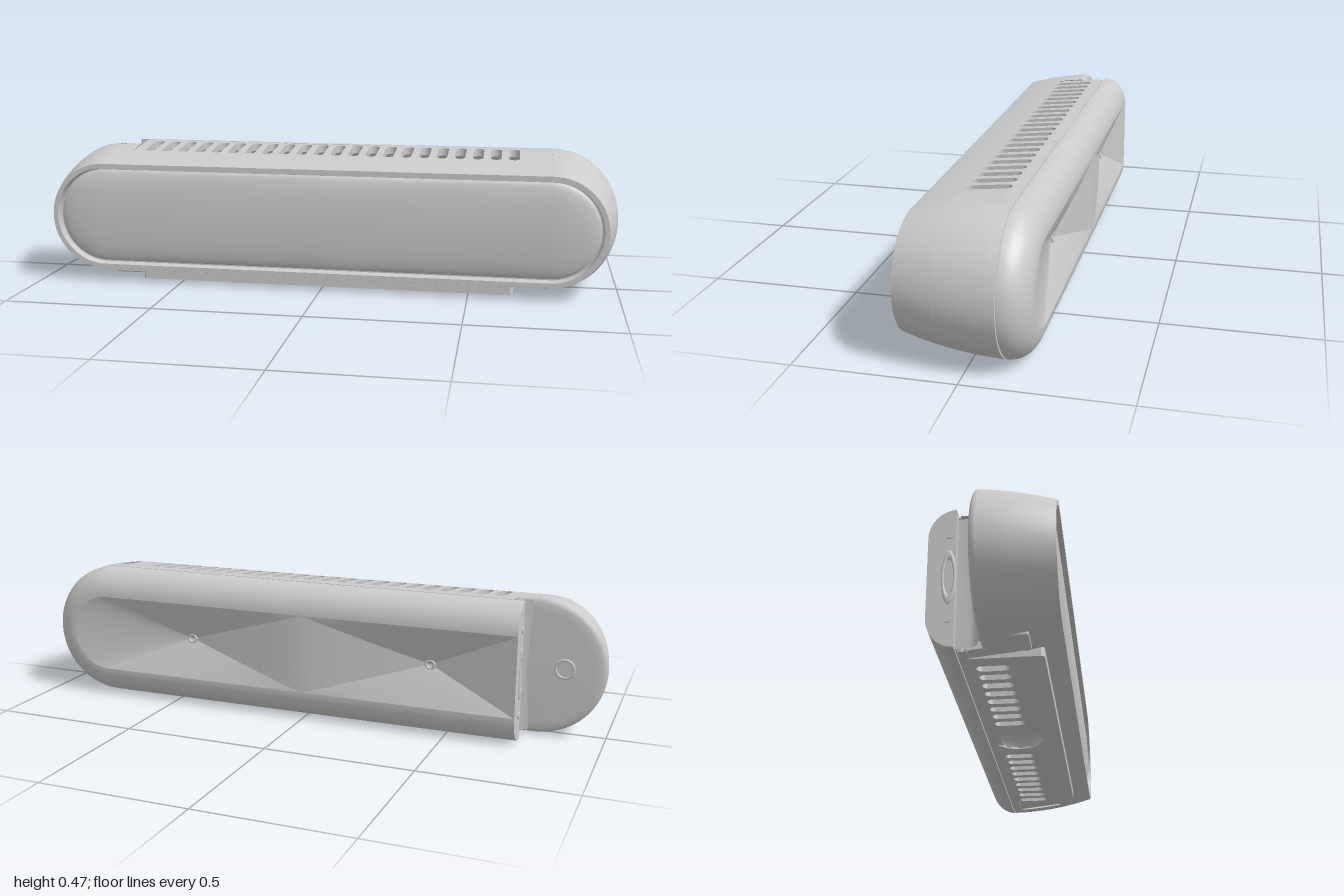
import * as THREE from 'three';
import { RoundedBoxGeometry } from 'three/addons/geometries/RoundedBoxGeometry.js';

const C = 0.2325;    // centre height, also the largest end radius
const XC = 0.7675;   // centre of the round ends
const CUT = -0.70;   // where the rear of the body stops
const LIP = -0.735;  // where the rear cover stops
const REAR = -0.2;
const radiusAt = z => C - 0.0465 * ((z + 0.115) / 0.315) ** 2;

// Half outline: straight top, round end, straight bottom
function endRing(side, r, z, cut) {
  const pts = [[cut, C + r, z]];
  for (let i = 0; i <= 32; i++) {
    const a = Math.PI / 2 - Math.PI * i / 32;
    pts.push([side * (XC + r * Math.cos(a)), C + r * Math.sin(a), z]);
  }
  pts.push([cut, C - r, z]);
  return pts;
}
const fullRing = (r, z) => [...endRing(1, r, z, 0), ...endRing(-1, r, z, 0).reverse()];

// Surface through rows of points of equal length
function loft(rows, flat = false) {
  const n = rows[0].length, idx = [];
  for (let i = 0; i < rows.length - 1; i++) {
    for (let j = 0; j < n - 1; j++) {
      const a = i * n + j, b = a + n;
      idx.push(a, b, a + 1, a + 1, b, b + 1);
    }
  }
  let g = new THREE.BufferGeometry();
  g.setAttribute('position', new THREE.Float32BufferAttribute(rows.flat(2), 3));
  g.setIndex(idx);
  if (flat) g = g.toNonIndexed();
  g.computeVertexNormals();
  return g;
}

// Rounded slot or rectangle outline in x and z
function rounded(Type, x0, x1, z0, z1, r) {
  const p = new Type();
  p.absarc(x1 - r, z1 - r, r, 0, Math.PI / 2);
  p.absarc(x0 + r, z1 - r, r, Math.PI / 2, Math.PI);
  p.absarc(x0 + r, z0 + r, r, Math.PI, Math.PI * 1.5);
  p.absarc(x1 - r, z0 + r, r, Math.PI * 1.5, Math.PI * 2);
  p.closePath();
  return p;
}

// Plate with holes, laid level with its top following a rule of z
function plate(shape, holes, thickness, topAt) {
  shape.holes.push(...holes);
  const g = new THREE.ExtrudeGeometry(shape, { depth: thickness, bevelEnabled: false, curveSegments: 6 });
  const p = g.attributes.position;
  for (let i = 0; i < p.count; i++) {
    const z = p.getY(i);
    p.setXYZ(i, p.getX(i), topAt(z) - p.getZ(i), z);
  }
  g.computeVertexNormals();
  return g;
}

export function createModel() {
  const group = new THREE.Group();
  const mat = new THREE.MeshStandardMaterial({ color: 0xcccccc, side: THREE.DoubleSide });
  const add = (name, geo, x = 0, y = 0, z = 0) => {
    const m = new THREE.Mesh(geo, mat);
    m.name = name;
    m.position.set(x, y, z);
    group.add(m);
    return m;
  };
  const steps = (a, b, n) => Array.from({ length: n + 1 }, (_, i) => a + (b - a) * i / n);

  // Tapered shell: front band, round ends beside the vents, rear band
  add('frontShell', loft(steps(0.2, 0.08, 8).map(z => fullRing(radiusAt(z), z))));
  add('leftShellEnd', loft(steps(0.08, -0.08, 6).map(z => endRing(1, radiusAt(z), z, XC))));
  add('rightShellEnd', loft(steps(0.08, -0.02, 5).map(z => endRing(-1, radiusAt(z), z, CUT))));
  add('rearShell', loft([-0.08, -0.095, -0.109].map(z => endRing(1, radiusAt(z), z, CUT))));
  add('coverSeam', loft([[C, -0.109], [C - 0.006, -0.11], [C - 0.006, -0.114], [C, -0.115]]
    .map(([r, z]) => endRing(1, r, z, CUT)), true));

  // Stepped-back end on the model's right
  const endProfile = [[0.2285, -0.02], [0.228, -0.029], [0.223, -0.035], [0.212, -0.039], [0.19, -0.041], [0, -0.043]];
  add('recessedEnd', loft(endProfile.map(([r, z]) => endRing(-1, r, z, CUT))));
  const stepPath = [[-0.75, -0.041], [-0.725, -0.045], [-0.707, -0.055], [CUT, -0.072], [CUT, -0.115]];
  add('stepWall', loft(stepPath.map(([x, z]) => [[x, C * 2 - 0.012, z], [x, 0.012, z]])));
  const button = add('roundButton', new THREE.TorusGeometry(0.03, 0.005, 8, 28), -0.86, C, -0.042);
  button.scale.z = 0.7;

  // Front rim, groove and bulging panel
  add('frontRim', loft([[0.186, 0.2], [0.17, 0.2], [0.166, 0.172], [0.162, 0.172]]
    .map(([r, z]) => fullRing(r, z)), true));
  add('frontPanel', loft(steps(0, 1, 14).map(t => {
    const a = t * Math.PI / 2;
    return fullRing(0.162 * Math.cos(a), 0.172 + 0.024 * Math.sin(a));
  })));

  // Vent slots that run through the top and the bottom
  const slotX = Array.from({ length: 22 }, (_, i) => -0.641 + i * 0.061);
  const topSlots = slotX.map(x => rounded(THREE.Path, x - 0.018, x + 0.018, -0.07, 0.07, 0.017));
  const bottomHoles = () => {
    const list = slotX.filter(x => Math.abs(x) > 0.12 && x > -0.63)
      .map(x => rounded(THREE.Path, x - 0.018, x + 0.018, -0.07, 0.03, 0.017));
    list.push(new THREE.Path().absarc(0, -0.01, 0.085, 0, Math.PI * 2));
    return list;
  };
  const panel = () => new THREE.Shape([[CUT, -0.08], [XC, -0.08], [XC, 0.08], [CUT, 0.08]]
    .map(([x, z]) => new THREE.Vector2(x, z)));
  add('topVent', plate(panel(), topSlots, 0.025, z => C + radiusAt(z)));
  add('bottomVent', plate(panel(), bottomHoles(), 0.025, z => C - radiusAt(z) + 0.028));

  // Flat foot with a round dish
  const foot = rounded(THREE.Shape, -0.65, 0.65, -0.1, 0.14, 0.012);
  add('foot', plate(foot, bottomHoles(), 0.035, () => 0.035));
  const dish = [[0, 0.04], [0.05, 0.037], [0.075, 0.025], [0.085, 0.002]].map(p => new THREE.Vector2(...p));
  add('footDish', new THREE.LatheGeometry(dish, 36), 0, 0, -0.01);
  add('footTab', new RoundedBoxGeometry(0.1, 0.018, 0.07, 2, 0.006), -0.715, 0.019, 0.07);

  // Rear cover: rounded rim, open on the stepped end
  const rim = steps(0, 1, 12).map(t => {
    const a = t * Math.PI / 2;
    return [0.135 + (C - 0.135) * Math.cos(a), -0.115 + (REAR + 0.115) * Math.sin(a)];
  });
  add('coverRim', loft(rim.map(([r, z]) => endRing(1, r, z, LIP))));
  add('coverEndWall', loft(rim.map(([r, z]) => [[LIP, C + r, z], [LIP, C - r, z]])));
  add('coverLip', loft([CUT, LIP].map(x => [[x, C * 2, -0.115], [x, 0, -0.115]])));

  // Sculpted back: two hollows joined by a curved diamond
  const H = 0.135, HX = 0.44, HZ = REAR + 0.055;
  const us = steps(-1, 1, 24);
  const edge = (u, s) => [u * HX, C + s * H * (1 - Math.abs(u)), REAR + (HZ - REAR) * Math.abs(u) ** 1.4];
  add('backDiamond', loft(us.map(u => [edge(u, 1), edge(u, -1)])));
  for (const s of [1, -1]) {
    add(s > 0 ? 'backUpperFacet' : 'backLowerFacet',
      loft(us.map(u => [edge(u, s), [u * (u > 0 ? XC : -LIP), C + s * H, REAR]])));
  }
  const arc = endRing(1, H, REAR, XC);
  add('backRoundFacet', loft([arc, arc.map(() => [HX, C, HZ])]));
  add('backEndFacet', loft([[[LIP, C + H, REAR], [LIP, C - H, REAR]], [[-HX, C, HZ], [-HX, C, HZ]]]));
  for (const s of [1, -1]) {
    add('mountingHole', new THREE.TorusGeometry(0.014, 0.005, 8, 20), s * HX, C, HZ - 0.004);
  }

  // Latch on the top seam, port and screws on the end wall
  add('topLatch', plate(rounded(THREE.Shape, -0.185, 0.18, -0.114, -0.086, 0.012), [], 0.006, () => 0.466));
  const port = add('portFrame', new THREE.TorusGeometry(0.018, 0.004, 8, 24), LIP, C, -0.135);
  port.rotation.y = Math.PI / 2;
  port.scale.y = 4.2;
  for (const y of [0.09, 0.375]) {
    const screw = add('endScrew', new THREE.CylinderGeometry(0.012, 0.012, 0.008, 16), LIP, y, -0.135);
    screw.rotation.z = Math.PI / 2;
  }
  return group;
}
